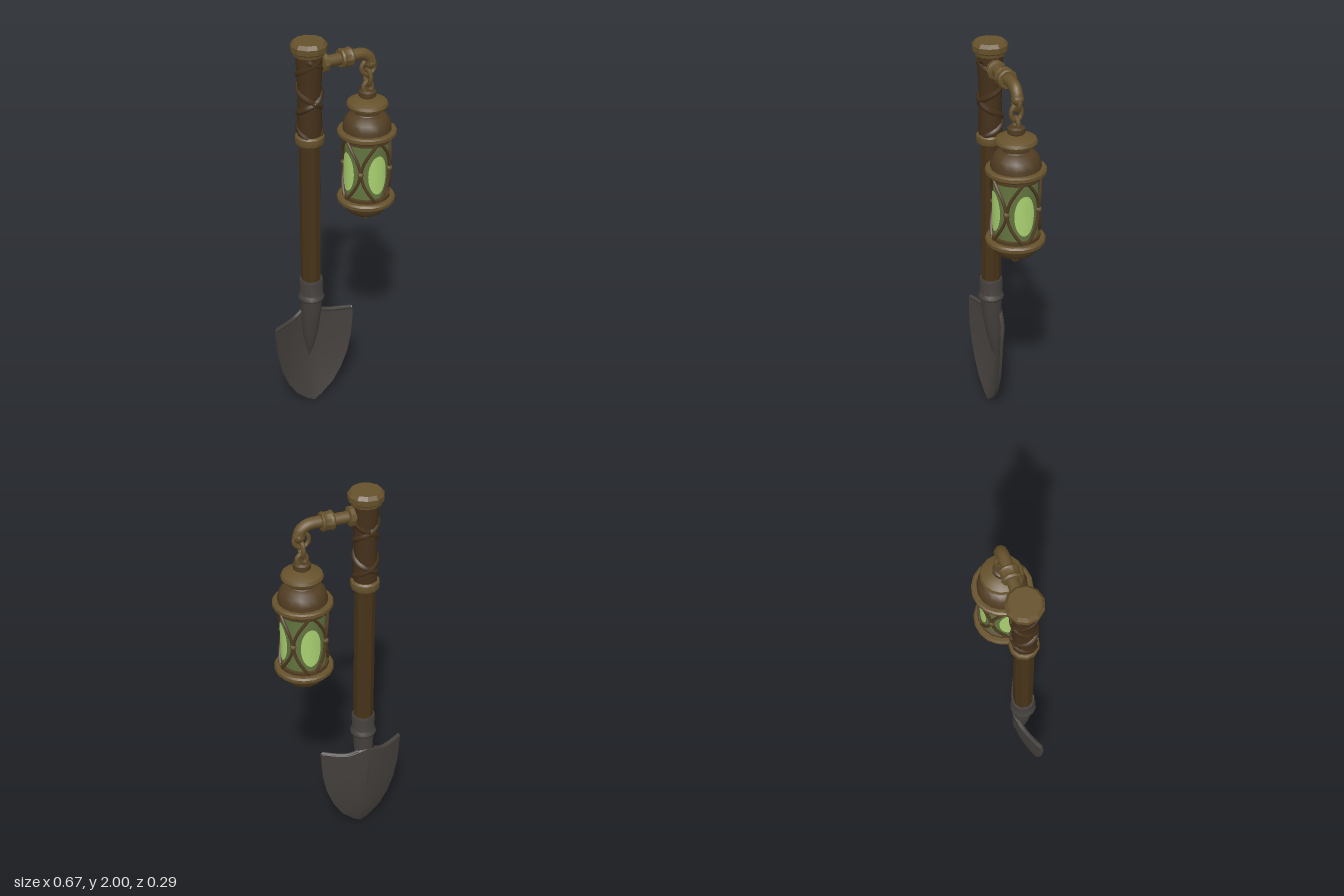
import * as THREE from 'three';
import { toCreasedNormals } from 'three/addons/utils/BufferGeometryUtils.js';

const V = (x, y, z) => new THREE.Vector3(x, y, z);
const material = (name, color) => Object.assign(new THREE.MeshStandardMaterial({ color }), { name });

// Skin over closed rings of points, listed from bottom to top
function loft(rings) {
  const n = rings[0].length, index = [];
  for (let j = 0; j < rings.length - 1; j++) {
    for (let i = 0; i < n; i++) {
      const a = j * n + i, b = j * n + (i + 1) % n;
      index.push(a, b, b + n, a, b + n, a + n);
    }
  }
  const geometry = new THREE.BufferGeometry().setFromPoints(rings.flat());
  geometry.setIndex(index);
  return toCreasedNormals(geometry, 0.7);
}

function lathe(profile, sides, crease = 0.6) {
  const points = profile.map(([r, y]) => new THREE.Vector2(r, y));
  return toCreasedNormals(new THREE.LatheGeometry(points, sides), crease);
}

function tube(points, radius, segments = 16, sides = 6) {
  return new THREE.TubeGeometry(new THREE.CatmullRomCurve3(points), segments, radius, sides);
}

export function createModel() {
  const brass = material('aged brass', 0x66512b);
  const bronze = material('dark bronze', 0x503c21);
  const wood = material('dark wood', 0x463319);
  const leather = material('leather wrap', 0x443019);
  const iron = material('dark iron', 0x443f3c);
  const glow = material('glowing glass', 0xa9d070);
  const glass = material('dim green glass', 0x62733f);

  const model = new THREE.Group();
  const add = (parent, name, geometry, mat, x = 0, y = 0, z = 0) => {
    const mesh = new THREE.Mesh(geometry, mat);
    mesh.name = name;
    mesh.position.set(x, y, z);
    parent.add(mesh);
    return mesh;
  };
  const group = (name, x) => {
    const g = new THREE.Group();
    g.name = name;
    g.position.x = x;
    model.add(g);
    return g;
  };

  // ---- Spade: everything on the pole axis ----
  const spade = group('spade', -0.117);
  add(spade, 'pole', lathe([[0.05, 0.7], [0.051, 1.1], [0.05, 1.52]], 9, 0.3), wood);

  // Dished blade: rows of [y, half width, centre z, edge z, half thickness]
  const rows = [
    [0.003, 0.002, 0.024, 0.024, 0.001],
    [0.03, 0.042, 0.014, 0.022, 0.005],
    [0.09, 0.106, -0.004, 0.024, 0.007],
    [0.17, 0.154, -0.021, 0.027, 0.007],
    [0.26, 0.188, -0.034, 0.03, 0.007],
    [0.36, 0.208, -0.043, 0.032, 0.007],
    [0.46, 0.216, -0.047, 0.033, 0.007],
    [0.525, 0.218, -0.048, 0.029, 0.008],
    [0.531, 0.216, -0.048, 0.029, 0],
  ];
  const steps = 14;
  const bladePoint = ([y, w, zc, ze, t], u, side) => {
    const rise = y > 0.5 ? 0.045 * Math.max(0, 1 - 2.2 * Math.abs(u)) - 0.012 * (1 - u * u) : 0;
    return V(u * w, y + rise, zc + (ze - zc) * Math.pow(Math.abs(u), 1.5) + side * t);
  };
  const rings = rows.map((row) => {
    const ring = [];
    for (let i = 0; i <= steps; i++) ring.push(bladePoint(row, -1 + 2 * i / steps, 1));
    for (let i = steps; i >= 0; i--) ring.push(bladePoint(row, -1 + 2 * i / steps, -1));
    return ring;
  });
  add(spade, 'blade', loft(rings), iron);

  // Rolled footrest along each half of the blade's top edge
  for (const s of [-1, 1]) {
    const edge = [0.18, 0.4, 0.6, 0.8, 0.98].map((u) => bladePoint(rows[7], s * u, 0.6));
    add(spade, 'footrest', tube(edge, 0.011, 10), iron);
  }

  // Tapering neck that runs down the face of the blade: [y, rx, centre z, rz]
  const neck = [
    [0.262, 0.002, -0.03, 0.004], [0.32, 0.02, -0.026, 0.026], [0.4, 0.036, -0.018, 0.038],
    [0.48, 0.045, -0.01, 0.046], [0.56, 0.05, -0.003, 0.052], [0.66, 0.056, 0, 0.056],
  ].map(([y, rx, zc, rz]) => Array.from({ length: 12 }, (_, i) => {
    const a = i / 12 * Math.PI * 2;
    return V(rx * Math.sin(a), y, zc + rz * Math.cos(a));
  }));
  add(spade, 'neck', loft(neck), iron);
  add(spade, 'socket', lathe([[0.05, 0.625], [0.062, 0.632], [0.067, 0.645], [0.062, 0.66], [0.057, 0.668],
    [0.06, 0.74], [0.057, 0.752], [0.045, 0.752]], 12), iron);

  // Leather grip with crossed bindings
  add(spade, 'grip', lathe([[0.057, 1.52], [0.059, 1.6], [0.054, 1.7], [0.057, 1.8], [0.061, 1.88], [0.06, 1.95]], 11), leather);
  for (const s of [-1, 1]) {
    const helix = Array.from({ length: 41 }, (_, i) => {
      const a = s * (i / 40 * Math.PI * 4 + 0.6);
      return V(0.05 * Math.sin(a), 1.54 + i / 40 * 0.38, 0.05 * Math.cos(a));
    });
    add(spade, 'gripBinding', tube(helix, 0.016, 80, 5), leather);
  }
  add(spade, 'gripCollar', lathe([[0.05, 1.497], [0.068, 1.5], [0.071, 1.515], [0.07, 1.535], [0.062, 1.543], [0.05, 1.543]], 11), brass);
  add(spade, 'poleCap', lathe([[0.05, 1.932], [0.072, 1.935], [0.075, 1.95], [0.084, 1.957], [0.085, 1.983],
    [0.071, 2], [0, 2]], 11, 0.4), brass);

  // ---- Bracket arm reaching out to the lantern ----
  const arm = group('bracketArm', 0);
  const armDisc = (name, profile) => {
    add(arm, name, lathe(profile, 10), brass, 0, 1.882, 0).rotation.z = -Math.PI / 2;
  };
  armDisc('armFlange', [[0, -0.07], [0.046, -0.055], [0.047, -0.034], [0.035, -0.028], [0, -0.028]]);
  armDisc('armCoupling', [[0, 0.04], [0.042, 0.041], [0.048, 0.05], [0.043, 0.058], [0.043, 0.085],
    [0.048, 0.092], [0.042, 0.1], [0, 0.101]]);
  const elbow = [V(-0.07, 1.882, 0), V(0.05, 1.882, 0), V(0.12, 1.885, 0), V(0.165, 1.88, 0), V(0.195, 1.858, 0), V(0.204, 1.83, 0)];
  add(arm, 'armPipe', tube(elbow, 0.028, 24, 10), brass);
  add(arm, 'pipeEnd', new THREE.SphereGeometry(0.03, 10, 6), brass, 0.204, 1.83, 0);

  // ---- Hanging lantern ----
  const lantern = group('lantern', 0.192);
  [[1.81, 0.036, 0, 1], [1.762, 0.026, 1, 1.35], [1.712, 0.024, 0, 1.1]].forEach(([y, r, turned, stretch]) => {
    const link = add(lantern, 'chainLink', new THREE.TorusGeometry(r, 0.011, 6, 14), brass, 0, y, 0);
    link.rotation.y = turned * Math.PI / 2;
    link.scale.y = stretch;
  });
  add(lantern, 'hangerKnob', lathe([[0.03, 1.645], [0.032, 1.66], [0.042, 1.668], [0.042, 1.69], [0.03, 1.698], [0, 1.698]], 12), bronze);
  add(lantern, 'ventCap', lathe([[0.05, 1.612], [0.096, 1.615], [0.1, 1.626], [0.094, 1.64], [0.07, 1.652], [0.035, 1.662], [0, 1.662]], 16), brass);
  add(lantern, 'ventNeck', lathe([[0.072, 1.572], [0.062, 1.585], [0.062, 1.62]], 16), bronze);
  add(lantern, 'dome', lathe([[0.118, 1.49], [0.117, 1.52], [0.107, 1.552], [0.088, 1.573], [0.06, 1.583]], 16, 0.8), bronze);
  add(lantern, 'upperRim', lathe([[0.1, 1.47], [0.136, 1.471], [0.143, 1.479], [0.142, 1.494], [0.134, 1.5], [0.11, 1.5]], 18), brass);
  add(lantern, 'upperBand', lathe([[0.1, 1.445], [0.117, 1.447], [0.117, 1.475]], 16), bronze);
  add(lantern, 'glass', lathe([[0.105, 1.14], [0.107, 1.3], [0.105, 1.46]], 24, 1), glass);
  add(lantern, 'lowerBand', lathe([[0.118, 1.14], [0.118, 1.162], [0.1, 1.165]], 16), bronze);
  add(lantern, 'lowerRim', lathe([[0.1, 1.112], [0.134, 1.113], [0.142, 1.12], [0.143, 1.136], [0.136, 1.145], [0.1, 1.146]], 18), brass);
  add(lantern, 'bowl', lathe([[0, 1.038], [0.05, 1.043], [0.088, 1.06], [0.108, 1.085], [0.114, 1.116]], 16, 0.8), bronze);
  add(lantern, 'finial', lathe([[0, 1], [0.014, 1.008], [0.024, 1.022], [0.02, 1.031], [0.035, 1.038], [0.035, 1.05]], 10), brass);

  // Four bright panes, each framed by bowed bars that meet at the corners
  const pane = new THREE.RingGeometry(0, 1, 24, 4);
  const p = pane.attributes.position;
  for (let i = 0; i < p.count; i++) {
    const a = p.getX(i) * 0.46, y = p.getY(i) * 0.102;
    p.setXYZ(i, 0.11 * Math.sin(a), 1.293 + y, 0.11 * Math.cos(a));
  }
  pane.computeVertexNormals();
  const bar = (s) => Array.from({ length: 13 }, (_, i) => {
    const t = -1 + i / 6;
    const a = s * (0.1 + 0.66 * Math.cos(t * Math.PI / 2));
    return V(0.114 * Math.sin(a), 1.303 + 0.155 * t, 0.114 * Math.cos(a));
  });
  const bars = [-1, 1].map((s) => tube(bar(s), 0.008, 24, 5));
  for (let k = 0; k < 4; k++) {
    const angle = k * Math.PI / 2;
    add(lantern, 'glowingPane', pane, glow).rotation.y = angle;
    for (const b of bars) add(lantern, 'cageBar', b, bronze).rotation.y = angle;
    const c = angle + Math.PI / 4;
    add(lantern, 'cageKnot', new THREE.SphereGeometry(0.016, 8, 6), brass, 0.113 * Math.sin(c), 1.303, 0.113 * Math.cos(c));
  }
  return model;
}
